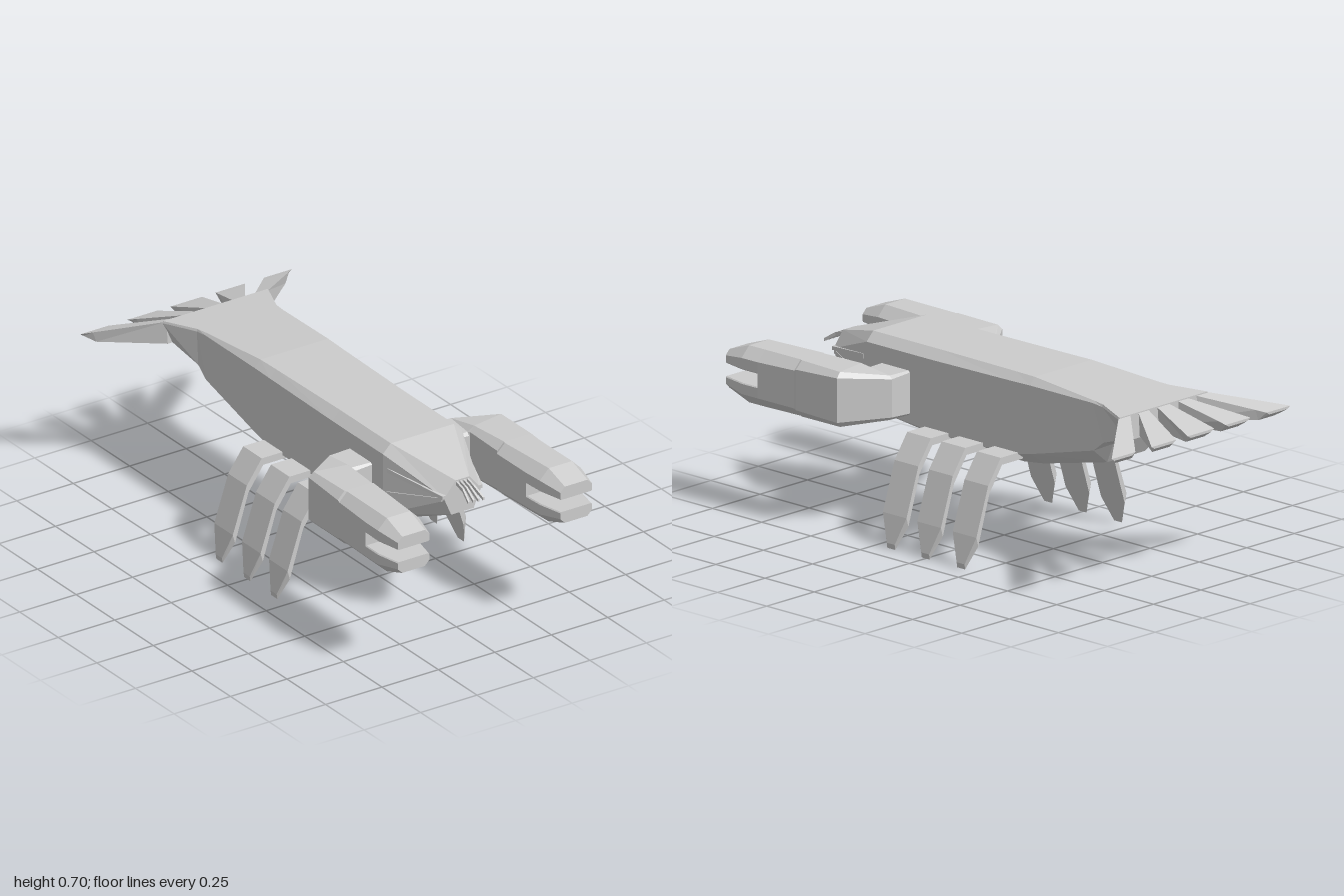
import * as THREE from 'three';

const material = new THREE.MeshStandardMaterial({ color: 0xcccccc, flatShading: true });

// Skin a closed solid through rings of equal point count; winding is fixed from the signed volume.
function loft(rings) {
  const tris = [];
  const n = rings[0].length;
  for (let i = 0; i < rings.length - 1; i++) {
    for (let j = 0; j < n; j++) {
      const k = (j + 1) % n;
      const a = rings[i][j], b = rings[i][k], c = rings[i + 1][k], d = rings[i + 1][j];
      tris.push([a, b, c], [a, c, d]);
    }
  }
  const first = rings[0], last = rings[rings.length - 1];
  for (let j = 1; j < n - 1; j++) {
    tris.push([first[0], first[j + 1], first[j]], [last[0], last[j], last[j + 1]]);
  }
  let volume = 0;
  const o = new THREE.Vector3(...first[0]);
  for (const t of tris) {
    const [a, b, c] = t.map((p) => new THREE.Vector3(...p).sub(o));
    volume += a.dot(b.cross(c));
  }
  if (volume < 0) tris.forEach((t) => t.reverse());
  const geometry = new THREE.BufferGeometry();
  geometry.setAttribute('position', new THREE.Float32BufferAttribute(tris.flat(2), 3));
  geometry.computeVertexNormals();
  return geometry;
}

const flipX = (rings, side) => rings.map((r) => r.map(([x, y, z]) => [x * side, y, z]));

// Chamfered upright section between an outer and an inner plan point.
// c = [low, high] chamfer sizes
function section([ox, oz], [ix, iz], lo, hi, [cl, ch]) {
  const width = Math.hypot(ox - ix, oz - iz);
  const at = (d, y) => [ox + (ix - ox) * d / width, y, oz + (iz - oz) * d / width];
  return [
    at(cl, lo), at(0, lo + cl), at(0, hi - ch), at(ch, hi),
    at(width - ch, hi), at(width, hi - ch), at(width, lo + cl), at(width - cl, lo),
  ];
}

// Rectangular bar end, centred on a point
const bar = (x, y, z, w, h) => [
  [x - w, y - h, z], [x + w, y - h, z], [x + w, y + h, z], [x - w, y + h, z],
];

export function createModel() {
  const model = new THREE.Group();
  const add = (name, rings, side = 1, parent = model) => {
    const mesh = new THREE.Mesh(loft(flipX(rings, side)), material);
    mesh.name = name;
    parent.add(mesh);
  };

  // Body: z, then half-profile points (x, y) from top to bottom
  const body = [
    [0.79, 0.03, 0.625, 0.08, 0.565, 0.078, 0.555, 0.05, 0.49],
    [0.53, 0.14, 0.70, 0.175, 0.665, 0.175, 0.42, 0.10, 0.385],
    [0.20, 0.14, 0.70, 0.175, 0.665, 0.175, 0.39, 0.10, 0.345],
    [-0.20, 0.147, 0.70, 0.175, 0.67, 0.175, 0.39, 0.10, 0.345],
    [-0.30, 0.15, 0.70, 0.175, 0.672, 0.175, 0.41, 0.10, 0.358],
    [-0.62, 0.168, 0.68, 0.175, 0.672, 0.172, 0.49, 0.10, 0.43],
    [-0.67, 0.174, 0.677, 0.178, 0.668, 0.172, 0.53, 0.12, 0.515],
    [-0.81, 0.232, 0.668, 0.235, 0.66, 0.20, 0.58, 0.15, 0.57],
  ];
  add('body', body.map(([z, ...p]) => {
    const half = [0, 2, 4, 6].map((i) => [p[i], p[i + 1], z]);
    return [...half, ...half.map(([x, y]) => [-x, y, z]).reverse()];
  }));

  // Tail fan: base and tip x ranges
  const fin = ([b0, b1], [t0, t1]) => {
    const mix = (a, b, t) => a + (b - a) * t;
    return [[-0.80, 0.667, 0.575, 0], [-0.97, 0.612, 0.57, 0.85], [-1, 0.602, 0.592, 1]].map(
      ([z, top, low, t]) => {
        const x0 = mix(b0, t0, t), x1 = mix(b1, t1, t), inset = (x1 - x0) * 0.12;
        return [[x0, top, z], [x1, top, z], [x1 - inset, low, z], [x0 + inset, low, z]];
      });
  };
  add('tailFinCentre', fin([-0.03, 0.03], [-0.07, 0.07]));

  for (const side of [1, -1]) {
    const label = side > 0 ? 'left' : 'right';
    add(label + 'TailFinInner', fin([0.075, 0.125], [0.13, 0.26]), side);
    add(label + 'TailFinOuter', fin([0.165, 0.225], [0.345, 0.47]), side);

    // Claw: arm and palm, then two jaws
    const claw = new THREE.Group();
    claw.name = label + 'Claw';
    model.add(claw);
    add('armAndPalm', [
      section([0.16, 0.31], [0.16, 0.46], 0.43, 0.60, [0.006, 0.006]),
      section([0.27, 0.31], [0.255, 0.46], 0.43, 0.60, [0.012, 0.012]),
      section([0.435, 0.43], [0.26, 0.46], 0.412, 0.622, [0.02, 0.02]),
      section([0.443, 0.63], [0.264, 0.63], 0.41, 0.625, [0.03, 0.03]),
      section([0.443, 0.64], [0.255, 0.64], 0.41, 0.625, [0.035, 0.035]),
      section([0.449, 0.82], [0.262, 0.82], 0.407, 0.625, [0.04, 0.04]),
    ], side, claw);
    const jaw = (upper) => [[0.82, 0.449, 0.262, 0, 0.04], [0.90, 0.45, 0.267, 0, 0.04],
      [1, 0.43, 0.29, 0.035, 0.02]].map(([z, o, i, drop, c]) => upper
      ? section([o, z], [i, z], 0.54, 0.625 - drop, [0.004, c])
      : section([o, z], [i, z], 0.407 + drop, 0.49, [c, 0.004]));
    add('upperJaw', jaw(true), side, claw);
    add('lowerJaw', jaw(false), side, claw);

    // Walking legs: upper x, y, lower x, y, half width
    const legProfile = [
      [0.15, 0.403, 0.15, 0.375, 0.06],
      [0.267, 0.403, 0.26, 0.375, 0.06],
      [0.333, 0.31, 0.326, 0.28, 0.06],
      [0.395, 0.125, 0.385, 0.09, 0.06],
      [0.416, 0.02, 0.413, 0, 0.02],
    ];
    // Swap the pair below the knee so the outer face stays outside
    [0.175, 0, -0.18].forEach((z, i) => add(label + 'Leg' + (i + 1),
      legProfile.map(([ux, uy, lx, ly, w]) => [
        [ux, uy, z - w], [ux, uy, z + w], [lx, ly, z + w], [lx, ly, z - w],
      ]), side));

    // Mouth feelers and cheek ridges
    for (const x of [0.008, 0.024]) {
      add(label + 'Feeler', [
        bar(x, 0.615, 0.78, 0.004, 0.007),
        bar(x, 0.60, 0.83, 0.004, 0.007),
        bar(x * 1.35, 0.57, 0.88, 0.004, 0.006),
      ], side);
    }
    add(label + 'UpperCheekRidge', [
      bar(0.162, 0.605, 0.55, 0.009, 0.009), bar(0.08, 0.568, 0.79, 0.009, 0.007),
    ], side);
    add(label + 'LowerCheekRidge', [
      bar(0.164, 0.51, 0.55, 0.009, 0.009), bar(0.08, 0.556, 0.78, 0.007, 0.007),
    ], side);
  }
  return model;
}
